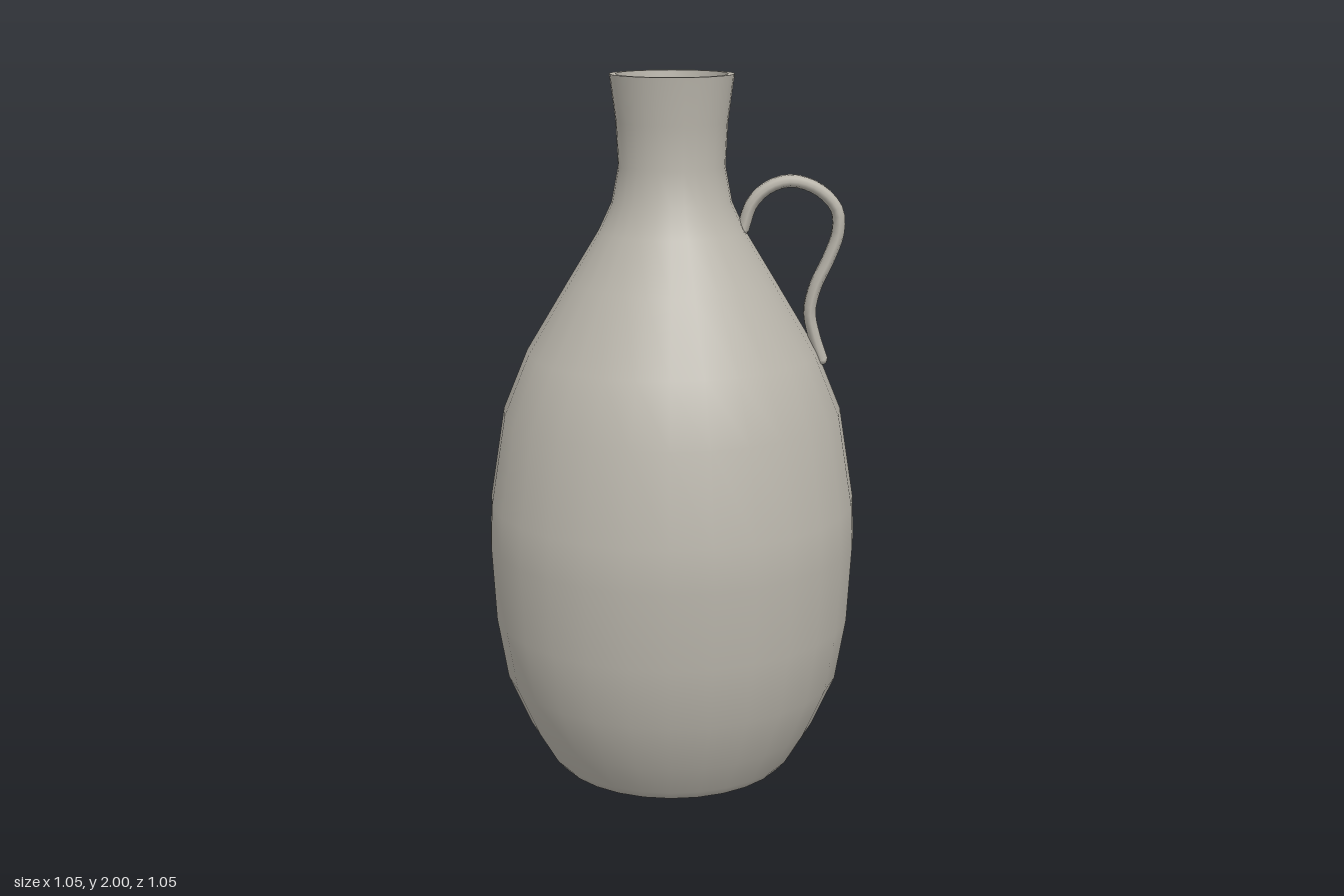
import * as THREE from 'three';

const SIDES = 28;
const points = (list) => list.map(([x, y]) => new THREE.Vector2(x, y));

export function createModel() {
  const jug = new THREE.Group();
  jug.name = 'jug';
  const clay = new THREE.MeshStandardMaterial({ color: 0xb9b5ab });
  clay.name = 'greyClay';

  const add = (name, geometry, parent = jug) => {
    const mesh = new THREE.Mesh(geometry, clay);
    mesh.name = name;
    parent.add(mesh);
    return mesh;
  };
  const lathe = (name, list) => add(name, new THREE.LatheGeometry(points(list), SIDES));

  // Outer wall, from the foot ring up to the mouth
  lathe('outerWall', [
    [0.27, 0.03], [0.285, 0.01], [0.31, 0.0], [0.34, 0.007], [0.365, 0.035],
    [0.42, 0.13], [0.485, 0.28], [0.515, 0.46], [0.527, 0.68], [0.522, 0.8],
    [0.48, 1.06], [0.41, 1.23], [0.29, 1.43], [0.205, 1.57], [0.168, 1.65],
    [0.149, 1.75], [0.155, 1.87], [0.172, 2.0],
  ]);

  // Flat lip joining the two walls
  lathe('lip', [[0.172, 2.0], [0.155, 2.0]]);

  // Inner wall, from the mouth down to the floor
  lathe('innerWall', [
    [0.155, 2.0], [0.138, 1.87], [0.131, 1.75], [0.148, 1.65], [0.185, 1.57],
    [0.27, 1.43], [0.39, 1.23], [0.46, 1.06], [0.502, 0.8], [0.507, 0.68],
    [0.495, 0.46], [0.465, 0.28], [0.4, 0.13], [0.34, 0.06],
  ]);
  lathe('floor', [[0.34, 0.06], [0, 0.06]]);

  // Recessed underside
  lathe('underside', [[0, 0.03], [0.27, 0.03]]);

  // Strap handle: a tube along a flat curve, widened sideways
  const handle = new THREE.Group();
  handle.name = 'handle';
  jug.add(handle);
  const radius = 0.018, widen = 1.95;
  const path = new THREE.CatmullRomCurve3([
    [0.198, 1.575], [0.222, 1.645], [0.268, 1.69], [0.33, 1.708], [0.405, 1.685],
    [0.458, 1.63], [0.463, 1.565], [0.438, 1.49], [0.402, 1.41], [0.388, 1.34],
    [0.402, 1.27], [0.424, 1.205],
  ].map(([x, y]) => new THREE.Vector3(x, y, 0)));
  add('handleStrap', new THREE.TubeGeometry(path, 36, radius, 10).scale(1, 1, widen), handle);

  // Rounded ends of the strap
  for (const t of [0, 1]) {
    const end = new THREE.SphereGeometry(radius, 10, 8).scale(1, 1, widen);
    add(t ? 'handleLowerEnd' : 'handleUpperEnd', end, handle).position.copy(path.getPoint(t));
  }
  return jug;
}
